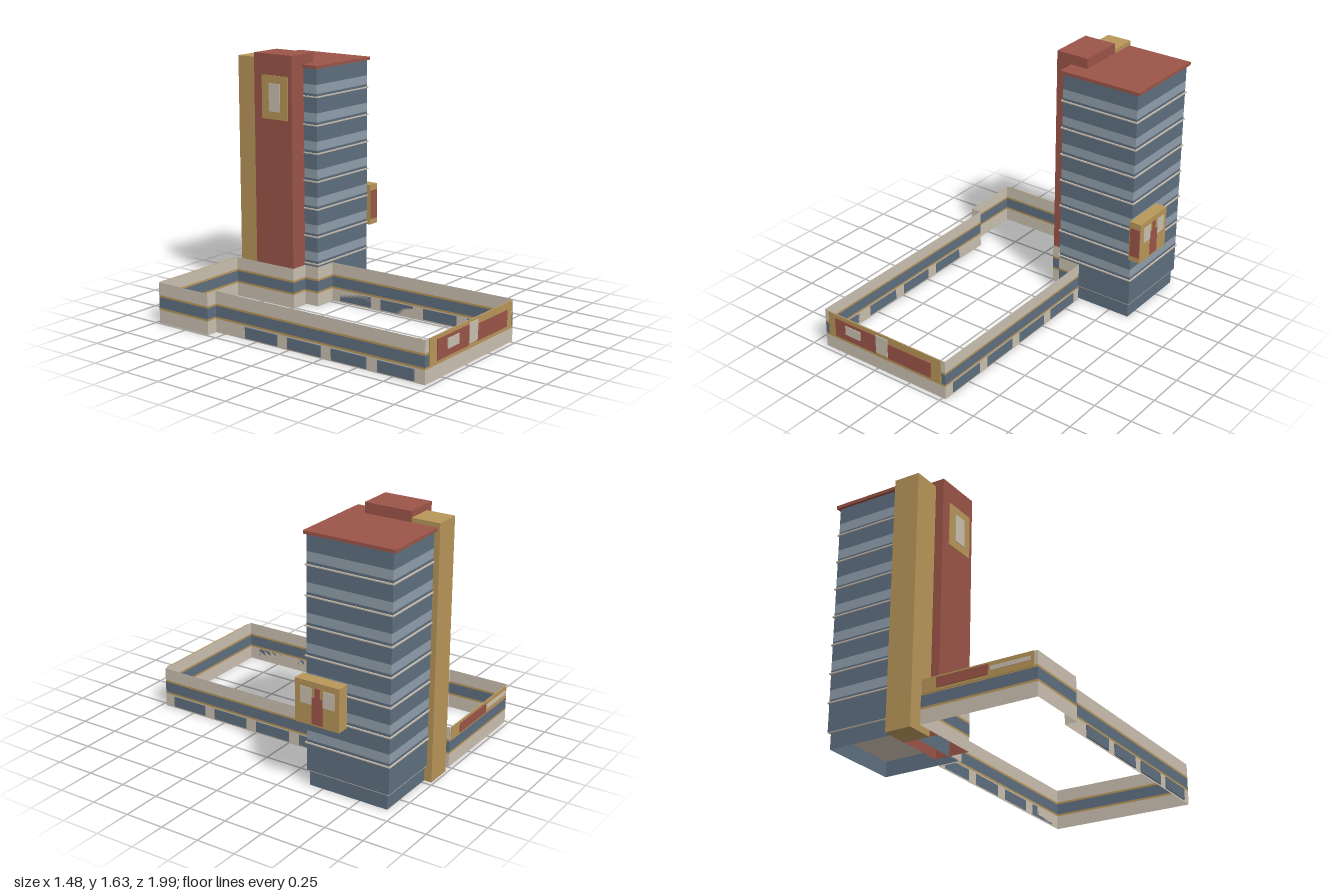
import * as THREE from 'three';
import { mergeGeometries } from 'three/addons/utils/BufferGeometryUtils.js';

const paint = (name, color, side = THREE.FrontSide) => {
  const m = new THREE.MeshStandardMaterial({ color, side });
  m.name = name;
  return m;
};

export function createModel() {
  const D = THREE.DoubleSide;
  const red = paint('brick red', 0x9c5548, D);
  const blue = paint('slate blue', 0x5f6f80, D);
  const glass = paint('pale glass blue', 0x909fac);
  const beige = paint('beige stone', 0xcbc0b1, D);
  const ochre = paint('ochre', 0xb89659, D);

  const model = new THREE.Group();
  const section = (name) => {
    const g = new THREE.Group();
    g.name = name;
    model.add(g);
    return g;
  };

  // Box given by its extents on each axis
  const box = (parent, name, mat, [x0, x1], [y0, y1], [z0, z1]) => {
    const mesh = new THREE.Mesh(new THREE.BoxGeometry(x1 - x0, y1 - y0, z1 - z0), mat);
    mesh.position.set((x0 + x1) / 2, (y0 + y1) / 2, (z0 + z1) / 2);
    mesh.name = name;
    parent.add(mesh);
  };

  // Thin upright wall following a closed plan of [x, z] corners
  const wall = (parent, name, mat, plan, y0, y1) => {
    const sides = plan.map(([xa, za], i) => {
      const [xb, zb] = plan[(i + 1) % plan.length];
      const g = new THREE.PlaneGeometry(Math.hypot(xb - xa, zb - za), y1 - y0);
      g.rotateY(Math.atan2(za - zb, xb - xa));
      return g.translate((xa + xb) / 2, (y0 + y1) / 2, (za + zb) / 2);
    });
    const mesh = new THREE.Mesh(mergeGeometries(sides), mat);
    mesh.name = name;
    parent.add(mesh);
  };
  const rect = (x0, x1, z0, z1) => [[x0, z1], [x1, z1], [x1, z0], [x0, z0]];

  // Tower: recessed open base, then floors with a pale window band and a ledge
  const tower = section('tower');
  const TX = [0.12, 0.652], TZ = [-0.95, -0.395];
  wall(tower, 'recessedBase', blue, rect(0.13, 0.64, -0.935, -0.41), 0, 0.1);
  box(tower, 'underside', beige, TX, [0.098, 0.102], TZ);
  box(tower, 'lowerFloor', blue, TX, [0.102, 0.3], TZ);
  for (let i = 0; i < 7; i++) {
    const y = 0.28 + i * 0.1817;
    const next = i < 6 ? y + 0.2017 : 1.55;
    box(tower, 'ledge', beige, [0.112, 0.66], [y - 0.004, y + 0.004], [-0.958, -0.387]);
    box(tower, 'windowBand', glass, TX, [y + 0.02, y + 0.078], TZ);
    box(tower, 'floorBand', blue, TX, [y + 0.078, next], TZ);
  }
  box(tower, 'roofSlab', red, [0.105, 0.668], [1.55, 1.57], [-0.97, -0.382]);

  // Red stair shaft, open below, with a framed plate near its top
  const stair = section('stairShaft');
  wall(stair, 'shaftWalls', red, rect(0, 0.222, -0.805, -0.5), 0, 1.63);
  box(stair, 'shaftRoof', red, [0, 0.222], [1.63, 1.635], [-0.805, -0.5]);
  box(stair, 'signFrame', ochre, [-0.005, 0], [1.22, 1.5], [-0.74, -0.53]);
  box(stair, 'signPanel', beige, [-0.009, -0.005], [1.27, 1.45], [-0.68, -0.59]);

  // Ochre service shaft
  box(model, 'serviceShaft', ochre, [0.055, 0.222], [0, 1.597], [-0.985, -0.805]);

  // Projecting box on the tower side
  const bay = section('projectingBay');
  box(bay, 'bayBody', ochre, [0.652, 0.732], [0.443, 0.714], [-0.667, -0.369]);
  box(bay, 'bayFrontPanel', red, [0.66, 0.728], [0.48, 0.674], [-0.369, -0.365]);
  for (const z of [-0.635, -0.48]) {
    box(bay, 'bayWindow', beige, [0.732, 0.736], [0.573, 0.675], [z, z + 0.075]);
  }
  box(bay, 'bayDoor', red, [0.732, 0.736], [0.455, 0.62], [-0.56, -0.485]);
  box(bay, 'bayDoorTop', red, [0.732, 0.736], [0.62, 0.68], [-0.538, -0.506]);

  // Low banded walls around the courtyard
  const court = section('courtyardWalls');
  const plan = [
    [0.272, -0.393], [0.272, 0.97], [-0.665, 0.97], [-0.665, -0.57], [-0.74, -0.57],
    [-0.74, -0.975], [-0.003, -0.975], [-0.003, -0.497], [0.118, -0.497], [0.118, -0.393],
  ].reverse();
  [
    ['plinth', beige, 0, 0.087], ['lowerTrim', ochre, 0.087, 0.1], ['windowStrip', blue, 0.1, 0.169],
    ['upperTrim', ochre, 0.169, 0.182], ['parapet', beige, 0.182, 0.263],
  ].forEach(([name, mat, y0, y1]) => wall(court, name, mat, plan, y0, y1));

  // Ground floor windows on both long sides
  for (const z of [0.65, 0.322, -0.005, -0.332]) {
    box(court, 'leftWindow', blue, [0.272, 0.276], [0.01, 0.08], [z, z + 0.25]);
    box(court, 'rightWindow', blue, [-0.673, -0.665], [0.01, 0.08], [z, z + 0.25]);
  }

  // Front display board
  const front = section('frontBoard');
  box(front, 'board', ochre, [-0.63, 0.245], [0.1, 0.263], [0.972, 0.978]);
  box(front, 'rightPanel', red, [-0.568, -0.242], [0.118, 0.243], [0.983, 0.988]);
  box(front, 'leftPanel', red, [-0.15, 0.178], [0.12, 0.222], [0.983, 0.988]);
  box(front, 'centrePanel', beige, [-0.242, -0.15], [0.13, 0.252], [0.985, 0.99]);
  box(front, 'smallPanel', beige, [-0.477, -0.36], [0.165, 0.226], [0.993, 0.998]);

  // Back display board
  const back = section('backBoard');
  box(back, 'board', ochre, [-0.72, -0.01], [0.175, 0.263], [-0.981, -0.977]);
  box(back, 'panel', red, [-0.44, -0.11], [0.19, 0.25], [-0.988, -0.983]);
  box(back, 'strip', beige, [-0.7, -0.455], [0.21, 0.235], [-0.988, -0.983]);

  return model;
}
